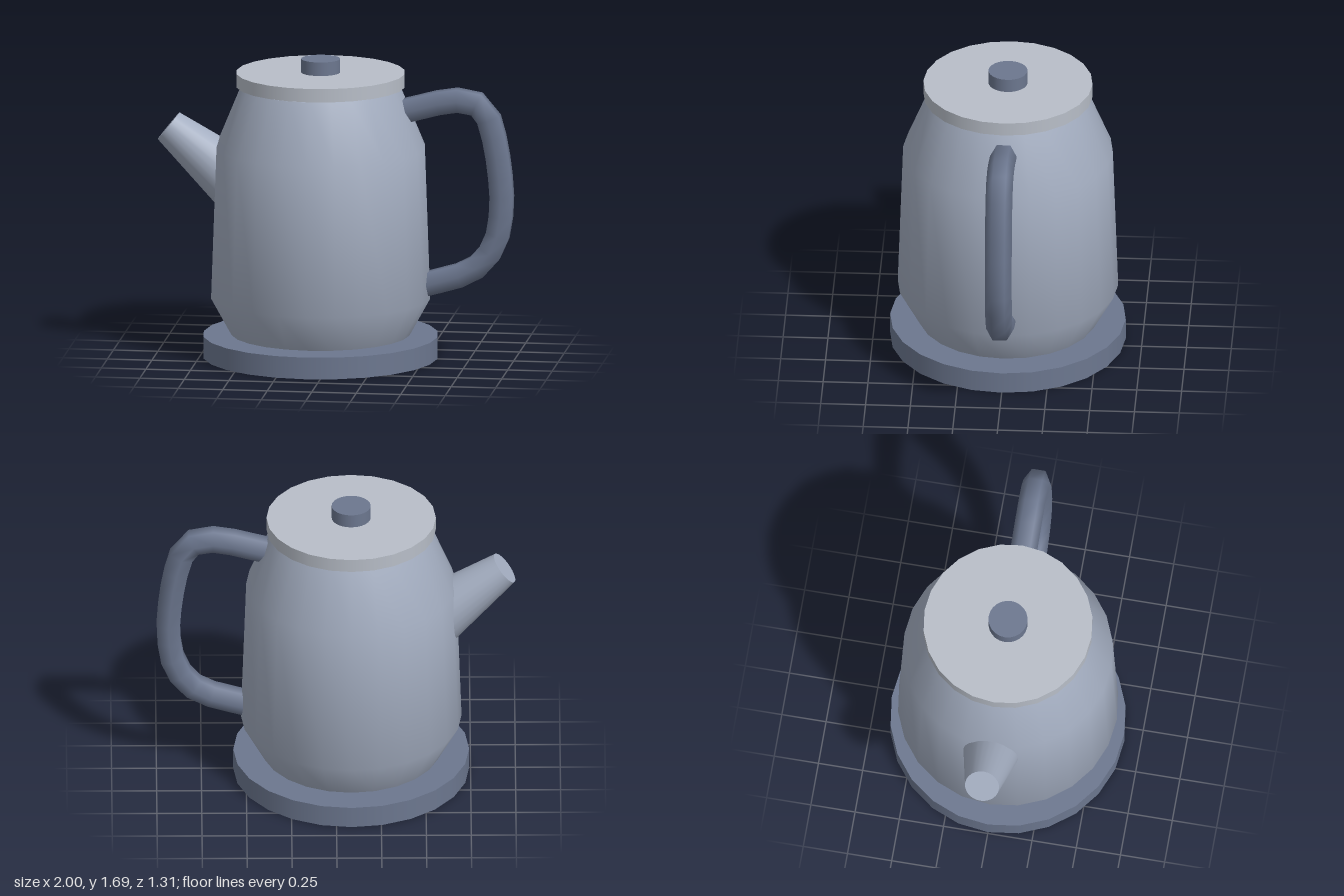
import * as THREE from 'three';
import { toCreasedNormals } from 'three/addons/utils/BufferGeometryUtils.js';

const AXIS_X = -0.085; // the pot sits slightly off centre so spout and handle balance
const SIDES = 24;

const shell = new THREE.MeshStandardMaterial({ color: 0xa3adc0, side: THREE.DoubleSide });
const lidGrey = new THREE.MeshStandardMaterial({ color: 0xb8bec8 });
const dark = new THREE.MeshStandardMaterial({ color: 0x6c778f, side: THREE.DoubleSide });

export function createModel() {
  const model = new THREE.Group();
  model.name = 'kettle';

  const add = (name, geometry, material, x = 0, y = 0) => {
    const mesh = new THREE.Mesh(geometry, material);
    mesh.name = name;
    mesh.position.set(x, y, 0);
    model.add(mesh);
    return mesh;
  };

  // Flat round parts stacked on the pot axis
  const disc = (name, radius, bottom, top, material) =>
    add(name, new THREE.CylinderGeometry(radius, radius, top - bottom, SIDES),
      material, AXIS_X, (bottom + top) / 2);
  disc('base', 0.657, 0, 0.123, dark);
  disc('lid', 0.472, 1.537, 1.613, lidGrey);
  disc('lidKnob', 0.109, 1.613, 1.69, dark);

  // Body: narrow foot, nearly straight wall, sloping shoulder
  const profile = [[0, 0.13], [0.5, 0.13], [0.615, 0.34], [0.585, 1.19], [0.445, 1.53], [0.43, 1.537], [0, 1.537]]
    .map(([r, y]) => new THREE.Vector2(r, y));
  add('body', toCreasedNormals(new THREE.LatheGeometry(profile, SIDES), 0.7), shell, AXIS_X);

  // Spout: tapered cylinder leaning out to the right
  const tip = new THREE.Vector3(-0.94, 1.285, 0);
  const root = new THREE.Vector3(-0.54, 0.967, 0);
  const spout = add('spout', new THREE.CylinderGeometry(0.096, 0.177, tip.distanceTo(root), SIDES), shell);
  spout.position.copy(tip).add(root).multiplyScalar(0.5);
  spout.quaternion.setFromUnitVectors(new THREE.Vector3(0, 1, 0), tip.clone().sub(root).normalize());

  // Handle: six-sided tube, both ends sunk in the body
  const path = [[0.36, 1.4], [0.7, 1.475], [0.825, 1.435], [0.885, 1.29], [0.93, 1.0],
    [0.932, 0.87], [0.91, 0.71], [0.84, 0.575], [0.745, 0.5], [0.48, 0.418]]
    .map(([x, y]) => new THREE.Vector3(x, y, 0));
  add('handle', new THREE.TubeGeometry(new THREE.CatmullRomCurve3(path), 16, 0.075, 6), dark);

  return model;
}
